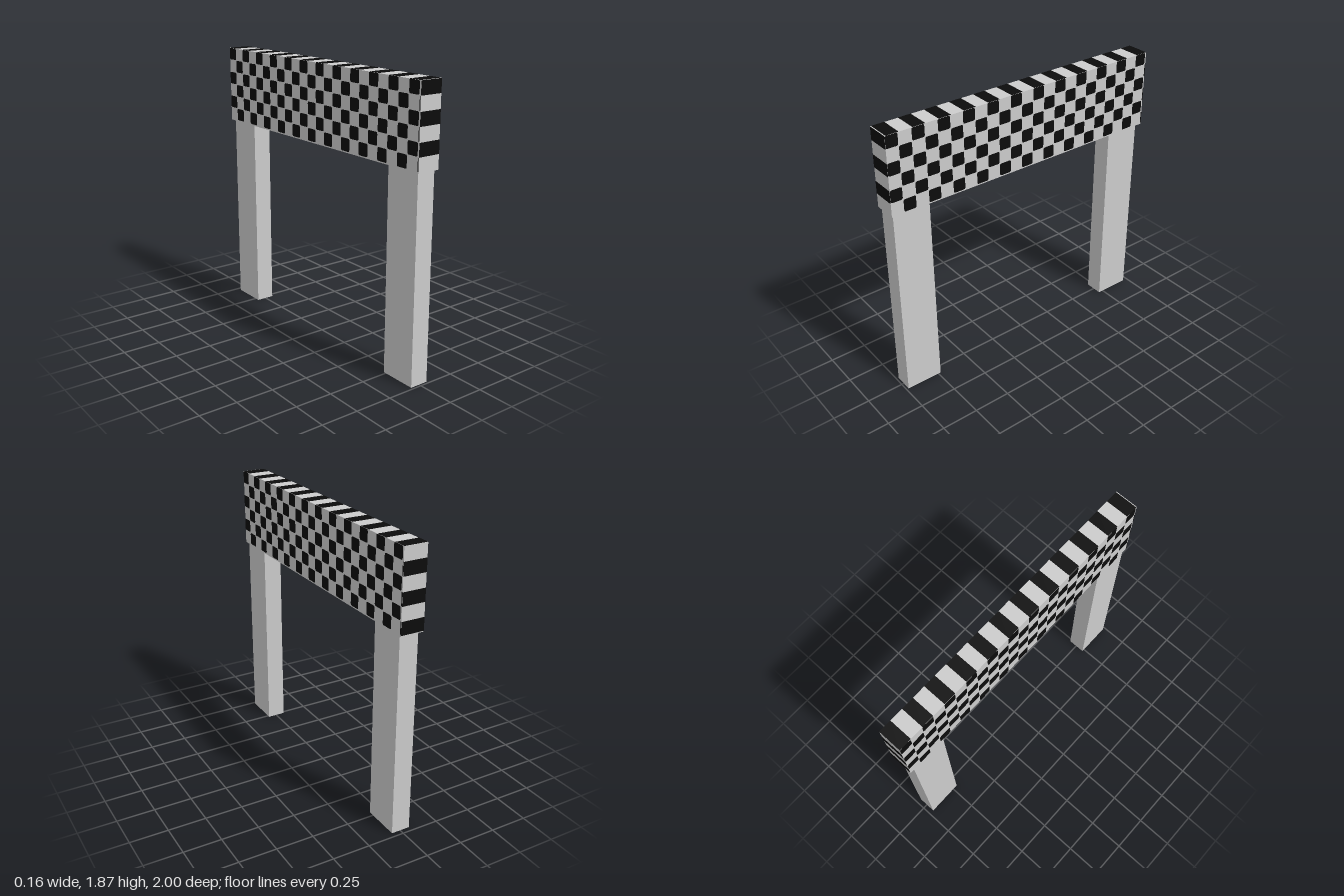
import * as THREE from 'three';

const LENGTH = 1.998, HEIGHT = 0.523, DEPTH = 0.155, BASE = 1.342;
const CELL = 0.0867; // size of one checker square
const LIFT = 0.001;  // paint sits just proud of the board

// Rectangle clamped to a w x h panel, with optional rounded corners
function patch(w, h, x0, x1, y0, y1, r = 0) {
  x0 = Math.max(x0, -w / 2); x1 = Math.min(x1, w / 2);
  y0 = Math.max(y0, -h / 2); y1 = Math.min(y1, h / 2);
  r = Math.min(r, (x1 - x0) / 3, (y1 - y0) / 3);
  const s = new THREE.Shape();
  s.moveTo(x0 + r, y0);
  s.lineTo(x1 - r, y0);
  if (r) s.quadraticCurveTo(x1, y0, x1, y0 + r);
  s.lineTo(x1, y1 - r);
  if (r) s.quadraticCurveTo(x1, y1, x1 - r, y1);
  s.lineTo(x0 + r, y1);
  if (r) s.quadraticCurveTo(x0, y1, x0, y1 - r);
  s.lineTo(x0, y0 + r);
  if (r) s.quadraticCurveTo(x0, y0, x0 + r, y0);
  return s;
}

// Checker squares for a long side, starting at the upper left
function checkerShapes() {
  const shapes = [];
  for (let row = 0; row < 6; row++) {
    for (let col = row % 2; col < 24; col += 2) {
      const x = -LENGTH / 2 + col * CELL - 0.003, y = HEIGHT / 2 - row * CELL + 0.002;
      if (x + 0.002 > LENGTH / 2) continue;
      shapes.push(patch(LENGTH, HEIGHT, x, x + 0.084, y - 0.083, y, 0.012));
    }
  }
  return shapes;
}

// Crosswise bands for the top and underside
function bandShapes() {
  const shapes = [];
  for (let i = 0; i < 12; i++) {
    const y = 0.956 - i * 2 * CELL;
    shapes.push(patch(DEPTH, LENGTH, -1, 1, y - 0.042, i === 0 ? 1 : y + 0.042));
  }
  return shapes;
}

// Horizontal bands for the two ends; first = 0 begins dark, 1 begins light
function endShapes(first) {
  const shapes = [];
  for (let row = first; row < 6; row += 2) {
    const y = HEIGHT / 2 - row * CELL;
    shapes.push(patch(DEPTH, HEIGHT, -1, 1, y - 0.084, y));
  }
  return shapes;
}

export function createModel() {
  const model = new THREE.Group();
  const grey = new THREE.MeshStandardMaterial({ color: 0xcccccc });
  grey.name = 'lightGrey';
  const black = new THREE.MeshStandardMaterial({ color: 0x0b0b0b });
  black.name = 'black';

  const add = (name, geometry, material, x, y, z) => {
    const mesh = new THREE.Mesh(geometry, material);
    mesh.name = name;
    mesh.position.set(x, y, z);
    model.add(mesh);
    return mesh;
  };

  // Overhead board
  const mid = BASE + HEIGHT / 2;
  add('board', new THREE.BoxGeometry(DEPTH, HEIGHT, LENGTH), grey, 0, mid, 0);

  // Checkered long sides
  for (const side of [1, -1]) {
    add(side > 0 ? 'leftChecker' : 'rightChecker', new THREE.ShapeGeometry(checkerShapes(), 3),
      black, side * (DEPTH / 2 + LIFT), mid, 0).rotation.y = side * Math.PI / 2;
  }

  // Striped ends
  add('frontStripes', new THREE.ShapeGeometry(endShapes(0)), black, 0, mid, LENGTH / 2 + LIFT);
  add('backStripes', new THREE.ShapeGeometry(endShapes(1)), black, 0, mid, -LENGTH / 2 - LIFT)
    .rotation.y = Math.PI;

  // Striped top and underside
  add('topStripes', new THREE.ShapeGeometry(bandShapes()), black, 0, BASE + HEIGHT + LIFT, 0)
    .rotation.x = -Math.PI / 2;
  add('bottomStripes', new THREE.ShapeGeometry(bandShapes()), black, 0, BASE - LIFT, 0)
    .rotation.set(Math.PI / 2, 0, Math.PI);

  // Posts, running a little way into the board
  const post = new THREE.BoxGeometry(0.126, BASE + 0.02, 0.252);
  add('frontPost', post, grey, -0.002, (BASE + 0.02) / 2, 0.858);
  add('backPost', post, grey, -0.002, (BASE + 0.02) / 2, -0.84);

  return model;
}
